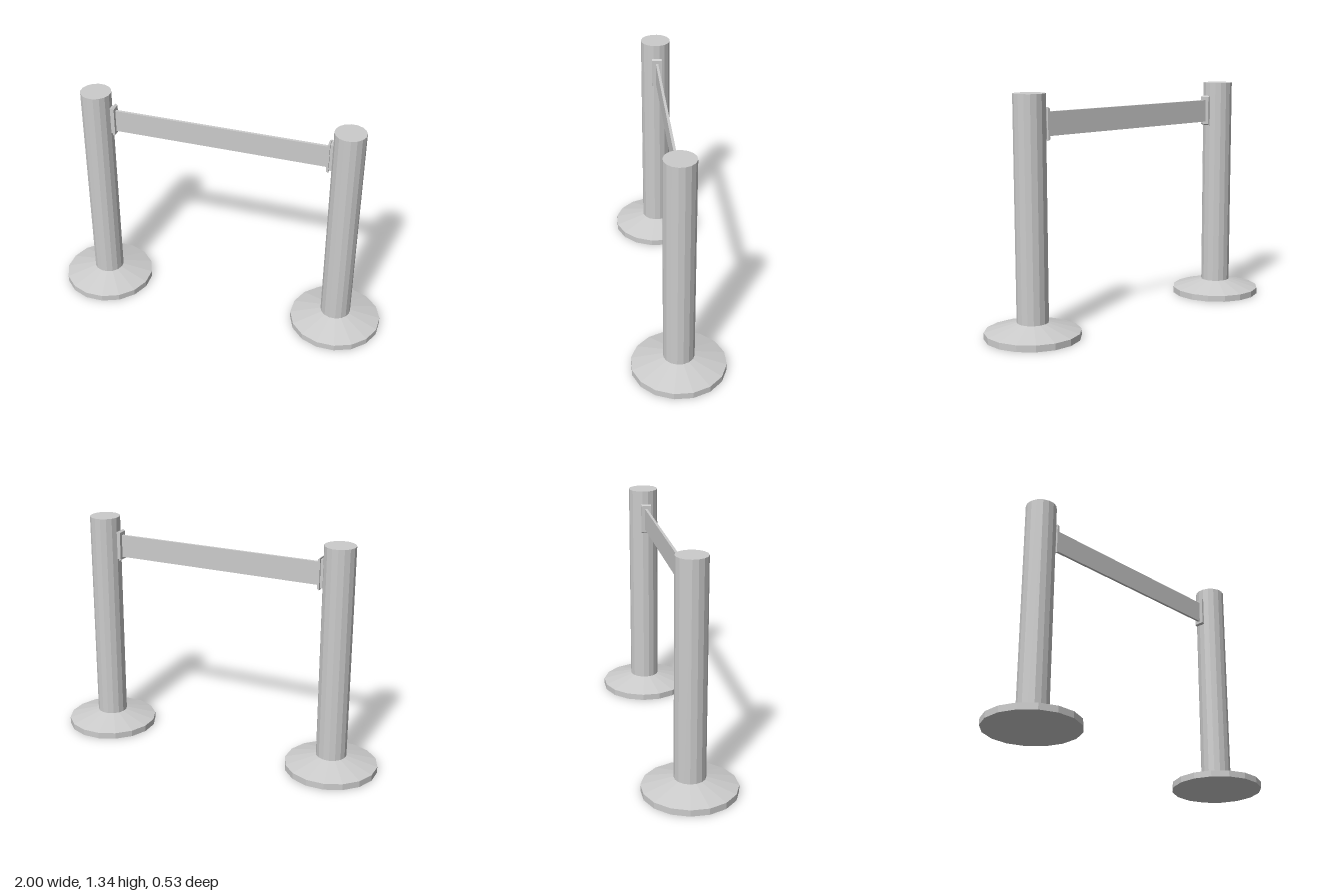
import * as THREE from 'three';

const material = new THREE.MeshStandardMaterial({ color: 0xcccccc, flatShading: true });
const SIDES = 16;

function addMesh(parent, name, geometry, x = 0, y = 0, z = 0) {
  const mesh = new THREE.Mesh(geometry, material);
  mesh.name = name;
  mesh.position.set(x, y, z);
  parent.add(mesh);
  return mesh;
}

// Sixteen-sided cylinder or cone with flat faces square to the axes
function facetedColumn(topRadius, bottomRadius, bottom, top, openEnded = false) {
  return new THREE.CylinderGeometry(topRadius, bottomRadius, top - bottom, SIDES, 1, openEnded)
    .rotateY(Math.PI / SIDES)
    .translate(0, (top + bottom) / 2, 0);
}

// Box whose face towards +x is slightly smaller
function taperedPlate(width, height, depth, scaleY) {
  const geometry = new THREE.BoxGeometry(width, height, depth);
  const p = geometry.attributes.position;
  for (let i = 0; i < p.count; i++) {
    if (p.getX(i) > 0) p.setY(i, p.getY(i) * scaleY);
  }
  geometry.computeVertexNormals();
  return geometry;
}

// Stanchion with its belt clip pointing along +x
function createStanchion(name) {
  const group = new THREE.Group();
  group.name = name;
  addMesh(group, 'baseRim', facetedColumn(0.27, 0.27, 0, 0.037));
  addMesh(group, 'baseCone', facetedColumn(0.089, 0.27, 0.037, 0.088, true));
  addMesh(group, 'post', facetedColumn(0.089, 0.089, 0.08, 1.343));
  addMesh(group, 'clipNeck', new THREE.BoxGeometry(0.03, 0.165, 0.036), 0.09, 1.174);
  addMesh(group, 'clipPlate', taperedPlate(0.013, 0.182, 0.06, 0.92), 0.109, 1.174);
  return group;
}

export function createModel() {
  const model = new THREE.Group();
  model.name = 'beltBarrier';

  // Two matching stanchions facing each other
  const right = createStanchion('rightStanchion');
  right.position.x = -0.735;
  const left = createStanchion('leftStanchion');
  left.position.x = 0.735;
  left.rotation.y = Math.PI;
  model.add(right, left);

  // Thin belt stretched between the clips
  addMesh(model, 'belt', new THREE.BoxGeometry(1.25, 0.133, 0.015), 0, 1.172);
  return model;
}
